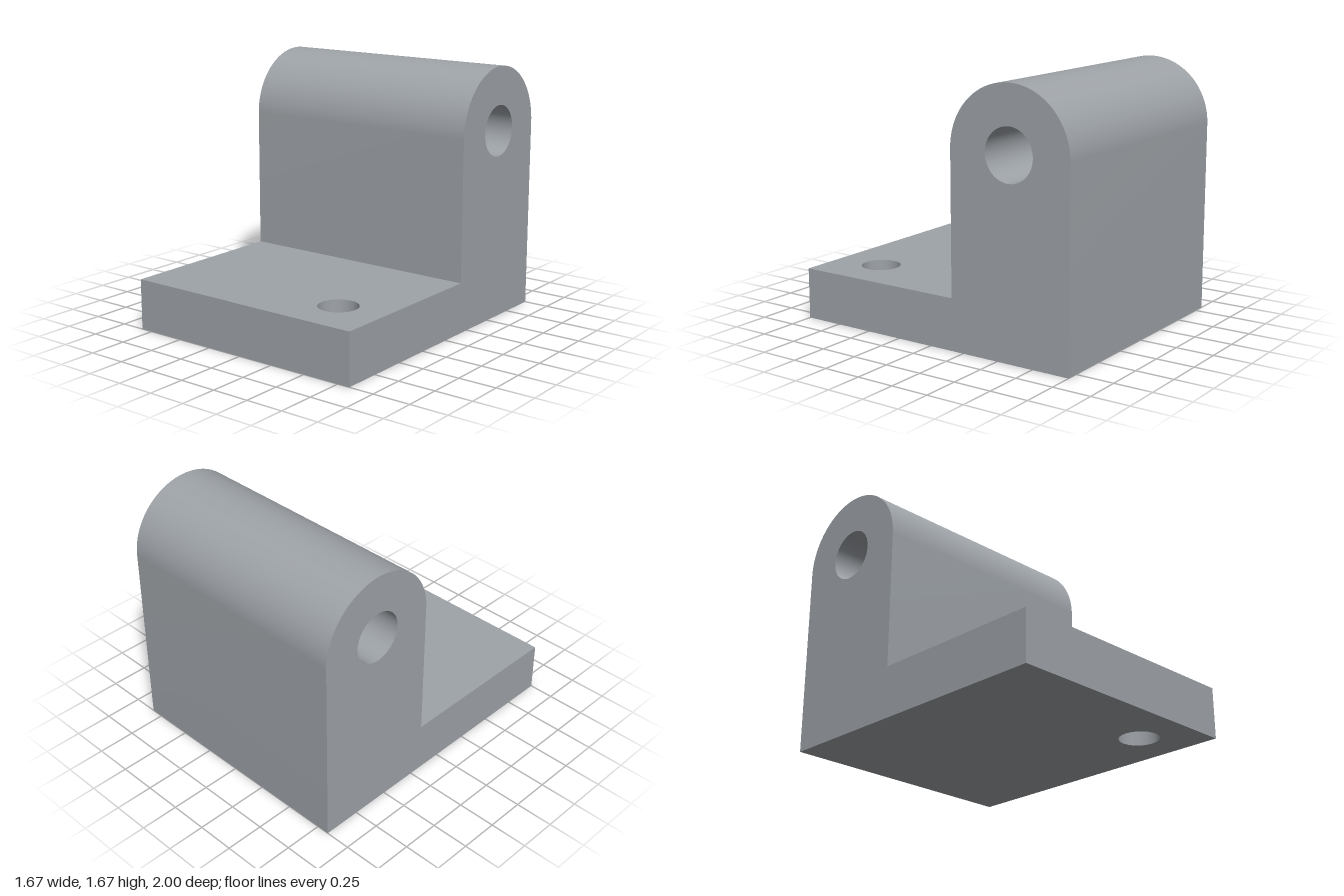
import * as THREE from 'three';
import { toCreasedNormals } from 'three/addons/utils/BufferGeometryUtils.js';

const HALF_WIDTH = 5 / 6;
const FOOT_HEIGHT = 1 / 3;
const UPRIGHT_FRONT = -1 / 6; // z of the upright's front face
const PIVOT = { y: 1.25, z: -7 / 12, outer: 5 / 12, bore: 1 / 6 };
const BOLT = { x: 0.5, z: 2 / 3, radius: 0.127 };

function addHole(shape, x, y, radius) {
  const hole = new THREE.Path();
  hole.absarc(x, y, radius, 0, Math.PI * 2, true);
  shape.holes.push(hole);
}

// Straight extrusion with smooth curves and sharp edges
function extrude(shape, depth) {
  const geometry = new THREE.ExtrudeGeometry(shape, { depth, bevelEnabled: false, curveSegments: 48 });
  return toCreasedNormals(geometry, 0.5);
}

export function createModel() {
  const group = new THREE.Group();
  group.name = 'bracket';
  const metal = new THREE.MeshStandardMaterial({ color: 0x9ea3a8 });
  metal.name = 'grey metal';

  const add = (name, geometry) => {
    const mesh = new THREE.Mesh(geometry, metal);
    mesh.name = name;
    group.add(mesh);
  };

  // Upright: round-topped side profile (shape x = -z), bored and extruded across the width
  const profile = new THREE.Shape();
  profile.moveTo(-UPRIGHT_FRONT, 0);
  profile.lineTo(1, 0);
  profile.lineTo(1, PIVOT.y);
  profile.absarc(-PIVOT.z, PIVOT.y, PIVOT.outer, 0, Math.PI, false);
  profile.closePath();
  addHole(profile, -PIVOT.z, PIVOT.y, PIVOT.bore);
  add('upright', extrude(profile, HALF_WIDTH * 2).rotateY(Math.PI / 2).translate(-HALF_WIDTH, 0, 0));

  // Foot plate: plan outline (shape y = -z) with one bolt hole, extruded upward
  const plan = new THREE.Shape();
  plan.moveTo(-HALF_WIDTH, -1);
  plan.lineTo(HALF_WIDTH, -1);
  plan.lineTo(HALF_WIDTH, -UPRIGHT_FRONT);
  plan.lineTo(-HALF_WIDTH, -UPRIGHT_FRONT);
  plan.closePath();
  addHole(plan, BOLT.x, -BOLT.z, BOLT.radius);
  add('footPlate', extrude(plan, FOOT_HEIGHT).rotateX(-Math.PI / 2));

  return group;
}
